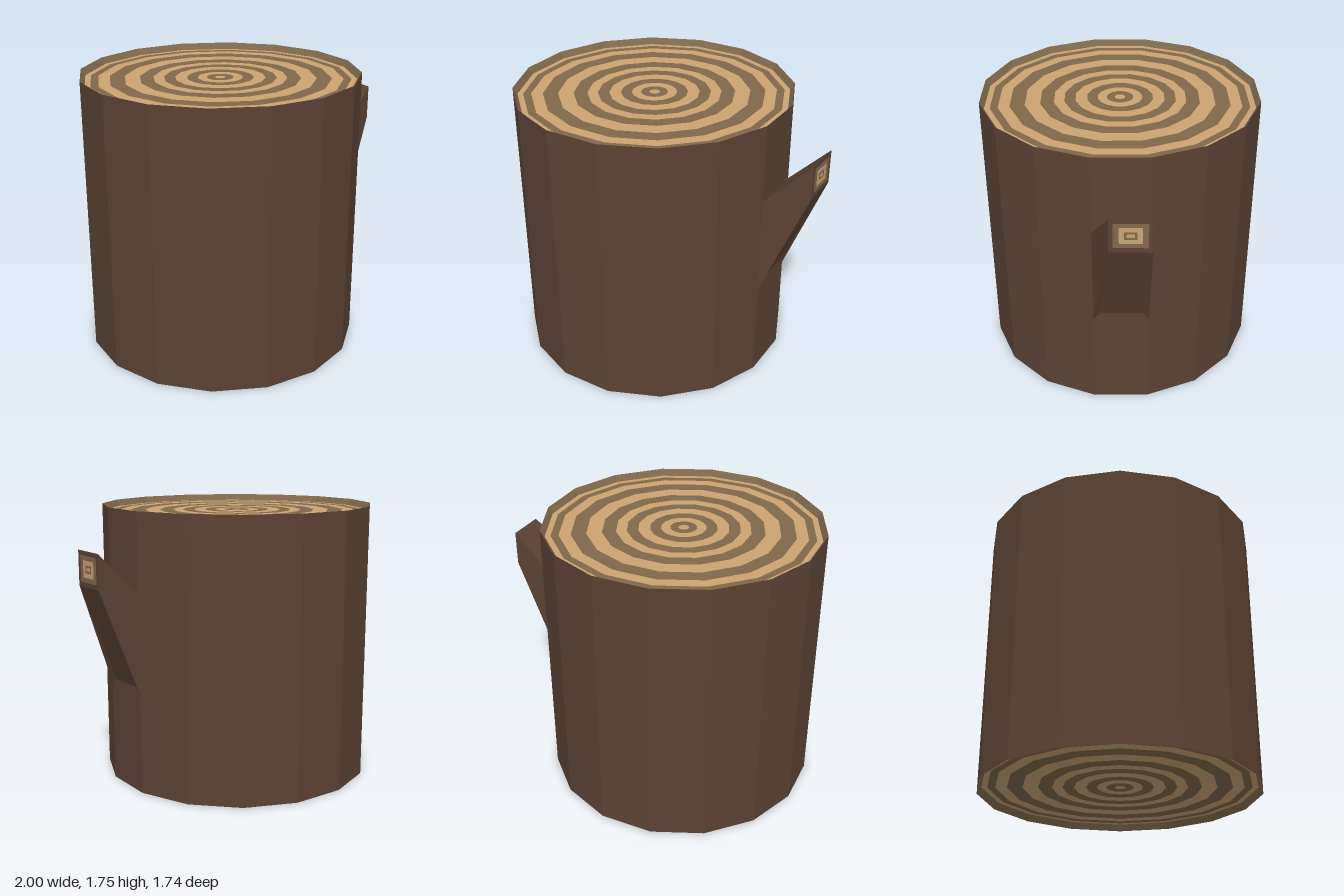
import * as THREE from 'three';

const SIDES = 16, RADIUS = 0.87, HEIGHT = 1.745, RECESS = 0.04, FLOOR = 0.843, CENTRE = -0.13;

const material = (color) =>
  new THREE.MeshStandardMaterial({ color, flatShading: true, side: THREE.DoubleSide });

// Flat-shaded mesh from polygons, each a list of [x, y, z] corners, counter-clockwise
function polygonMesh(name, polygons, mat) {
  const positions = [];
  for (const p of polygons) {
    for (let i = 1; i < p.length - 1; i++) positions.push(...p[0], ...p[i], ...p[i + 1]);
  }
  const geometry = new THREE.BufferGeometry();
  geometry.setAttribute('position', new THREE.Float32BufferAttribute(positions, 3));
  geometry.computeVertexNormals();
  const mesh = new THREE.Mesh(geometry, mat);
  mesh.name = name;
  return mesh;
}

// Recessed cut face: sloping rim and alternating growth rings, facing up
function cutFace(name, lightWood, darkWood) {
  const face = new THREE.Group();
  face.name = name;
  const rim = new THREE.Mesh(
    new THREE.CylinderGeometry(RADIUS, FLOOR, RECESS, SIDES, 1, true), darkWood);
  rim.name = 'rim';
  rim.position.y = -RECESS / 2;
  face.add(rim);

  const radii = [0, 0.033, 0.083, 0.14, 0.207, 0.28, 0.35, 0.415, 0.5, 0.595, 0.688, 0.76, 0.808, FLOOR];
  for (let i = 0; i < radii.length - 1; i++) {
    const geometry = i === 0
      ? new THREE.CircleGeometry(radii[1], SIDES)
      : new THREE.RingGeometry(radii[i], radii[i + 1], SIDES);
    const ring = new THREE.Mesh(geometry, i % 2 ? darkWood : lightWood);
    ring.name = 'growthRing';
    ring.rotation.x = -Math.PI / 2;
    ring.position.y = -RECESS;
    face.add(ring);
  }
  return face;
}

// Cut-off branch growing from one facet of the trunk
function createBranch(bark, lightWood, darkWood) {
  const branch = new THREE.Group();
  branch.name = 'branch';

  // Corners along each side: base top / middle / bottom, underside root, end bottom / top
  const corners = (bx, bz, ix, iz, ex, ez) => ({
    top: [bx, 1.255, bz], mid: [bx, 1.0, bz], low: [bx, 0.63, bz],
    root: [ix, 0.673, iz], endLow: [ex, 1.304, ez], endTop: [ex, 1.517, ez],
  });
  const F = corners(0.674, 0.333, 0.683, 0.288, 0.95, 0.287);
  const B = corners(0.74, 0, 0.731, 0.047, 1.0, 0.047);

  const sideFaces = (s) => [
    [s.mid, s.endLow, s.endTop, s.top],
    [s.low, s.endLow, s.mid],
    [s.low, s.root, s.endLow],
  ];
  branch.add(polygonMesh('branchBark', [
    [F.endTop, B.endTop, B.top, F.top],
    [F.root, B.root, B.endLow, F.endLow],
    ...sideFaces(F),
    ...sideFaces(B).map((p) => p.reverse()),
  ], bark));

  // Rectangular rings on the branch end
  const rect = ([w, h]) => [[-w, -h], [w, -h], [w, h], [-w, h]].map(([u, v]) => [
    0.975 + 0.025 * u, 1.4105 + 0.1065 * v, 0.167 - 0.12 * u,
  ]);
  const scales = [[1, 1], [0.8, 0.74], [0.53, 0.48], [0.29, 0.22], [0.19, 0.1]];
  const woods = [bark, darkWood, lightWood, darkWood, lightWood];
  scales.forEach((scale, i) => {
    const outer = rect(scale);
    let polygons = [outer];
    if (i < scales.length - 1) {
      const inner = rect(scales[i + 1]);
      polygons = outer.map((p, k) => [p, outer[(k + 1) % 4], inner[(k + 1) % 4], inner[k]]);
    }
    branch.add(polygonMesh('branchEndRing', polygons, woods[i]));
  });
  return branch;
}

export function createModel() {
  const model = new THREE.Group();
  model.name = 'log';
  const bark = material(0x5c4234);
  const lightWood = material(0xcaa472);
  const darkWood = material(0x7f684a);

  // Trunk
  const trunk = new THREE.Mesh(
    new THREE.CylinderGeometry(RADIUS, RADIUS, HEIGHT, SIDES, 1, true), bark);
  trunk.name = 'trunk';
  trunk.position.set(CENTRE, HEIGHT / 2, 0);
  model.add(trunk);

  // Cut faces at both ends
  const top = cutFace('topCut', lightWood, darkWood);
  top.position.set(CENTRE, HEIGHT, 0);
  const bottom = cutFace('bottomCut', lightWood, darkWood);
  bottom.position.set(CENTRE, 0, 0);
  bottom.rotation.x = Math.PI;
  model.add(top, bottom);

  model.add(createBranch(bark, lightWood, darkWood));
  return model;
}
